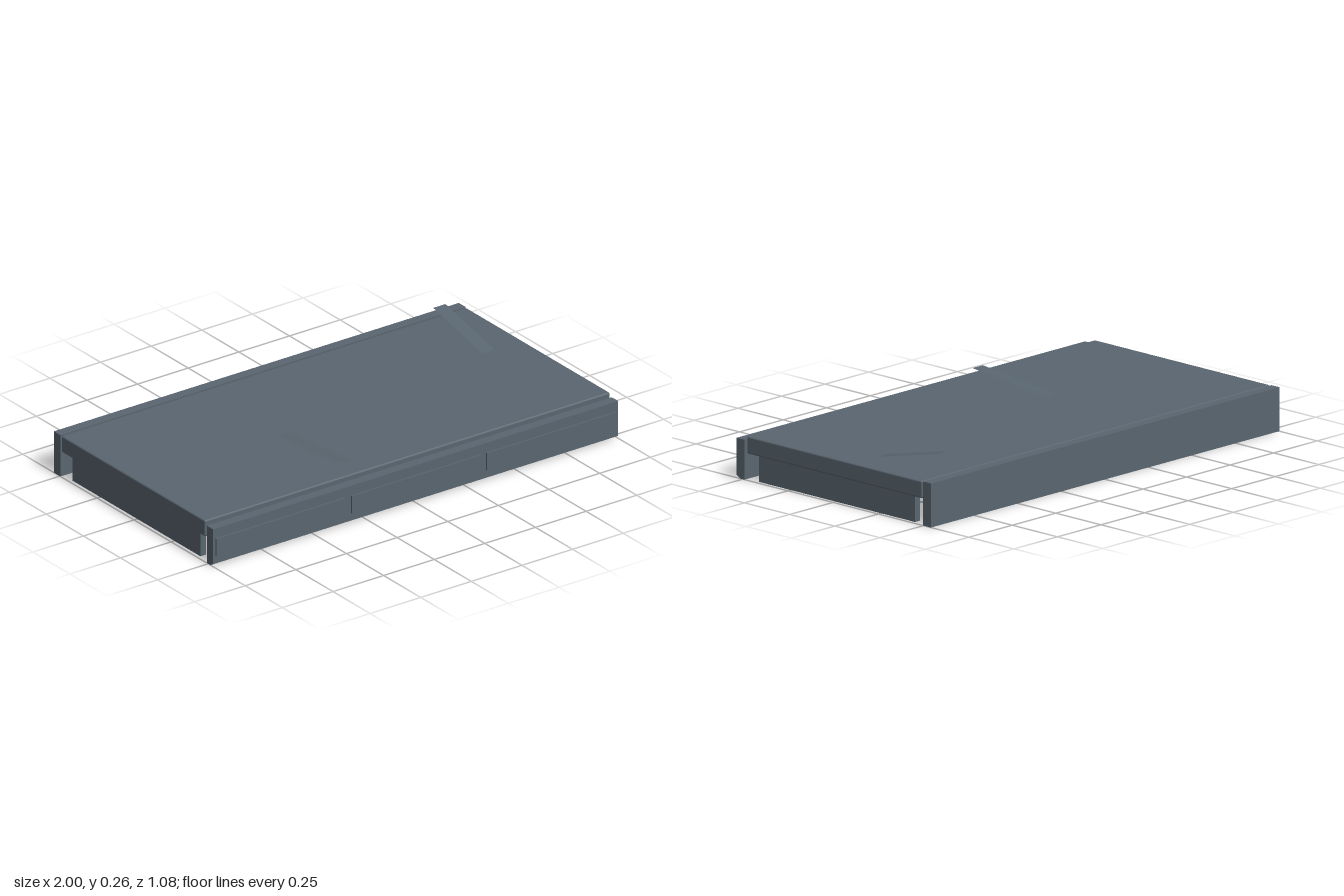
import * as THREE from 'three';
import { RoundedBoxGeometry } from 'three/addons/geometries/RoundedBoxGeometry.js';

export function createModel() {
  const model = new THREE.Group();
  model.name = 'platform';

  const slate = new THREE.MeshStandardMaterial({ color: 0x5a6670, side: THREE.DoubleSide });
  slate.name = 'slate';

  const add = (name, geometry) => {
    const mesh = new THREE.Mesh(geometry, slate);
    mesh.name = name;
    model.add(mesh);
    return mesh;
  };
  // Box given by its limits on each axis
  const block = (name, x0, x1, y0, y1, z0, z1) =>
    add(name, new THREE.BoxGeometry(x1 - x0, y1 - y0, z1 - z0))
      .position.set((x0 + x1) / 2, (y0 + y1) / 2, (z0 + z1) / 2);
  // Outline of [z, y] points swept along x
  const sweep = (name, points, x0, x1) => {
    const shape = new THREE.Shape(points.map(([z, y]) => new THREE.Vector2(-z, y)));
    const geometry = new THREE.ExtrudeGeometry(shape, { depth: x1 - x0, bevelEnabled: false });
    geometry.rotateY(Math.PI / 2).translate(x0, 0, 0);
    return add(name, geometry);
  };

  // Deck with softened edges
  add('deck', new RoundedBoxGeometry(2, 0.072, 0.97, 2, 0.007)).position.set(0, 0.146, -0.006);

  // Cross ribs under the deck
  for (const x of [-0.97, -0.325, 0.325, 0.97])
    block('rib', x - 0.014, x + 0.014, 0, 0.112, -0.438, 0.427);

  // Back board, and front board with a chamfered lower edge
  block('backBoard', -1, 1, 0, 0.182, -0.541, -0.497);
  sweep('frontBoard', [[0.491, 0], [0.515, 0], [0.534, 0.011], [0.534, 0.165], [0.491, 0.165]], -1, 1);

  // Raised panels on the front board
  for (const [x0, x1] of [[-0.988, -0.35], [-0.32, 0.318], [0.347, 0.985]])
    block('frontPanel', x0, x1, 0.045, 0.122, 0.533, 0.541);

  // Thin slats slanting through the deck
  const slat = (x, zHigh, yHigh, zLow, yLow) => {
    const length = Math.hypot(zHigh - zLow, yHigh - yLow);
    const geometry = new THREE.PlaneGeometry(0.06, length);
    geometry.rotateX(-Math.PI / 2);
    const mesh = add('slat', geometry);
    mesh.position.set(x, (yHigh + yLow) / 2, (zHigh + zLow) / 2);
    mesh.rotation.x = -Math.atan2(yHigh - yLow, zHigh - zLow);
    // Keep the face turned upward
    if (zHigh < zLow) mesh.rotation.x = -Math.atan((yHigh - yLow) / (zHigh - zLow));
  };
  slat(-0.28, 0.435, 0.223, -0.44, 0.137);
  slat(0.83, -0.44, 0.256, 0.43, 0.062);

  // Curved hook behind the front board
  const hookPath = new THREE.CatmullRomCurve3([
    [0.495, 0.02], [0.48, 0.026], [0.468, 0.05], [0.46, 0.08],
  ].map(([z, y]) => new THREE.Vector3(-0.005, y, z)));
  add('hook', new THREE.TubeGeometry(hookPath, 12, 0.006, 6));

  // Small tapered wedge behind the front board
  const wedge = sweep('wedge', [[0.492, 0.06], [0.492, 0.108], [0.476, 0.07]], -0.97, -0.67);
  const p = wedge.geometry.attributes.position;
  for (let i = 0; i < p.count; i++)
    if (p.getX(i) > -0.7 && p.getZ(i) < 0.48) p.setZ(i, 0.489);
  wedge.geometry.computeVertexNormals();

  return model;
}
